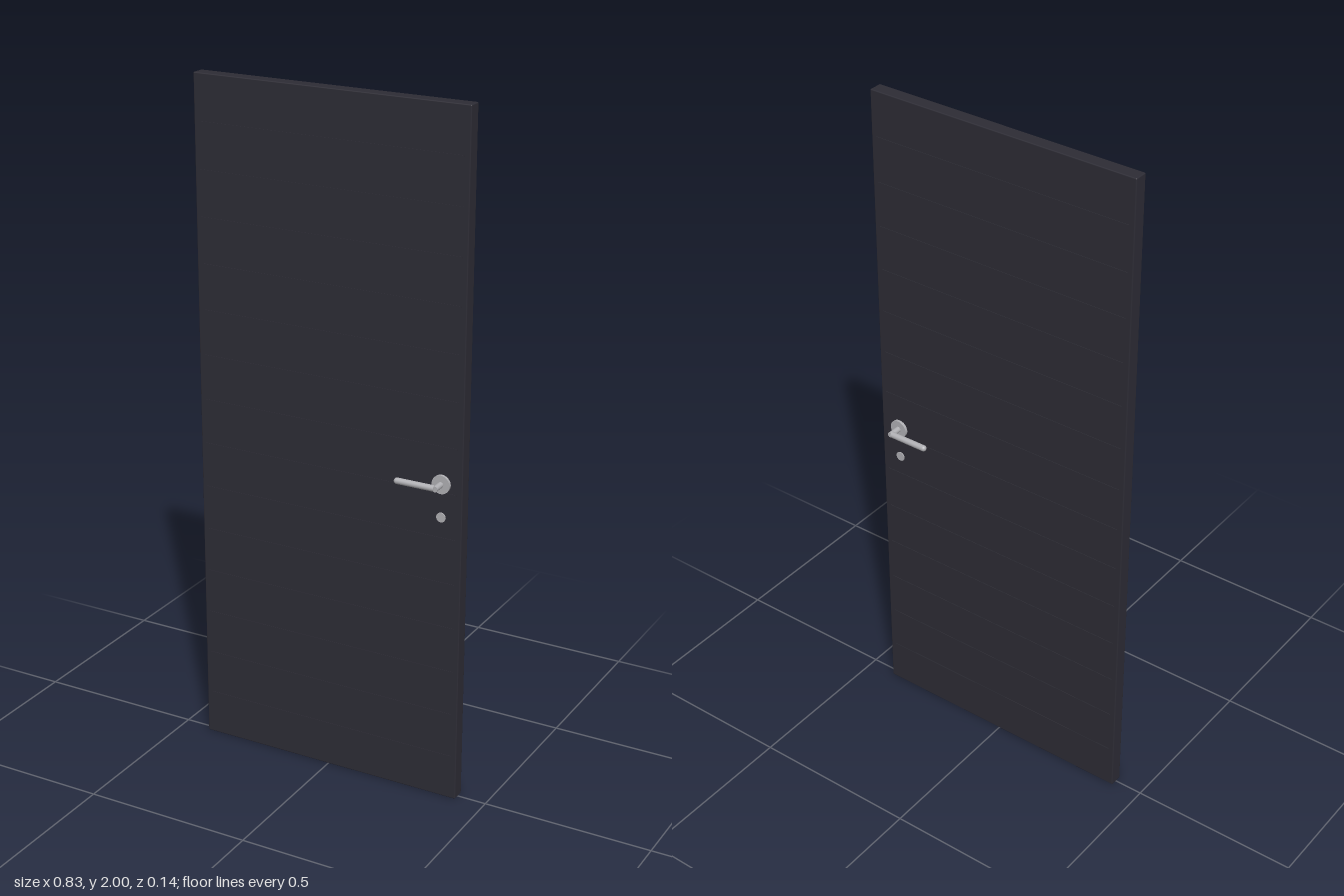
import * as THREE from 'three';
import { RoundedBoxGeometry } from 'three/addons/geometries/RoundedBoxGeometry.js';

export function createModel() {
  const door = new THREE.Group();
  door.name = 'door';
  const charcoal = new THREE.MeshStandardMaterial({ color: 0x2d2c35 });
  charcoal.name = 'charcoal paint';
  const steel = new THREE.MeshStandardMaterial({ color: 0xb0b0b4 });
  steel.name = 'brushed steel';

  const add = (parent, name, geometry, material, x, y, z) => {
    const mesh = new THREE.Mesh(geometry, material);
    mesh.name = name;
    mesh.position.set(x, y, z);
    parent.add(mesh);
    return mesh;
  };

  // Door leaf with slightly softened edges
  add(door, 'leaf', new RoundedBoxGeometry(0.828, 2, 0.04, 2, 0.003), charcoal, 0, 1, 0);

  // Fine horizontal ribs dividing both faces into fifteen boards
  const ribs = new THREE.Group();
  ribs.name = 'ribs';
  door.add(ribs);
  const boards = 15;
  const ribGeometry = new THREE.BoxGeometry(0.795, 0.004, 0.043);
  for (let i = 1; i < boards; i++) add(ribs, 'rib', ribGeometry, charcoal, 0, (2 * i) / boards, 0);

  // Cylinder along z between two depths
  const disc = (r, z0, z1, sides = 32) =>
    new THREE.CylinderGeometry(r, r, z1 - z0, sides).rotateX(Math.PI / 2).translate(0, 0, (z0 + z1) / 2);

  // Handle set: same parts on the front and the back
  const hx = 0.352, hy = 0.96;
  for (const side of [1, -1]) {
    const set = new THREE.Group();
    set.name = side > 0 ? 'frontHandle' : 'backHandle';
    door.add(set);
    const both = (z0, z1) => (side > 0 ? [z0, z1] : [-z1, -z0]);
    add(set, 'rosette', disc(0.027, ...both(0.018, 0.028)), steel, hx, hy, 0);
    add(set, 'neck', disc(0.0085, ...both(0.026, 0.064)), steel, hx, hy, 0);
    const lever = new THREE.CylinderGeometry(0.009, 0.009, 0.113, 24).rotateZ(Math.PI / 2);
    add(set, 'lever', lever, steel, 0.2925, hy, side * 0.059);
    add(set, 'leverTip', new THREE.SphereGeometry(0.009, 24, 16), steel, 0.236, hy, side * 0.059);
    add(set, 'lockPlate', disc(0.014, ...both(0.018, 0.023), 24), steel, hx, 0.862, 0);
  }
  return door;
}
